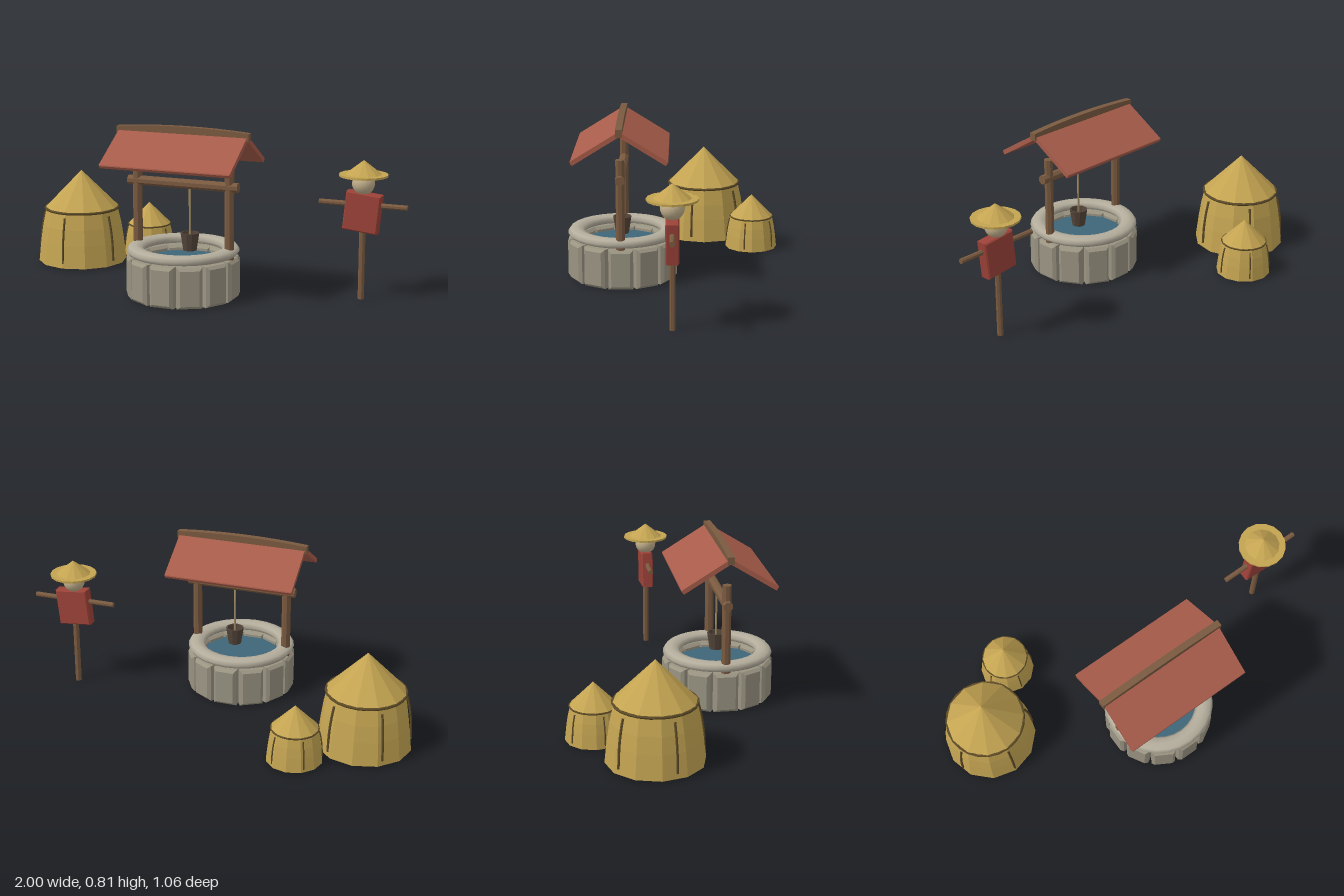
import * as THREE from 'three';

const mat = (color, flatShading = true, side = THREE.FrontSide) =>
  new THREE.MeshStandardMaterial({ color, flatShading, side });

const WOOD = mat(0x7a5a40), DARK_WOOD = mat(0x54453a), STRAW = mat(0xc4a452), TWINE = mat(0x5c4a26);
const STONE = mat(0x9a9482), RIM = mat(0xb4ad9c, false), ROOF = mat(0xa85c4a), CLOTH = mat(0x9c4238);

function add(parent, name, geometry, material, x = 0, y = 0, z = 0) {
  const mesh = new THREE.Mesh(geometry, material);
  mesh.name = name;
  mesh.position.set(x, y, z);
  parent.add(mesh);
  return mesh;
}

function group(parent, name, x, z) {
  const g = new THREE.Group();
  g.name = name;
  g.position.set(x, 0, z);
  parent.add(g);
  return g;
}

// Box with chamfered edges, centred on the origin
function chamferBox(w, h, d, c) {
  const a = w / 2 - c, b = h / 2 - c;
  const shape = new THREE.Shape([[-a, -b], [a, -b], [a, b], [-a, b]].map(p => new THREE.Vector2(...p)));
  return new THREE.ExtrudeGeometry(shape, {
    depth: d - 2 * c, bevelThickness: c, bevelSize: c, bevelSegments: 1,
  }).translate(0, 0, c - d / 2);
}

// Round pole, rotated so flats face the axes
const pole = (r, length) => new THREE.CylinderGeometry(r, r, length, 8).rotateY(Math.PI / 8);

function buildWell(parent) {
  const well = group(parent, 'well', -0.02, 0.26);

  // Ring of stone blocks
  const block = chamferBox(0.118, 0.195, 0.075, 0.014);
  for (let i = 0; i < 12; i++) {
    const a = i * Math.PI / 6;
    add(well, 'stoneBlock', block, STONE, Math.sin(a) * 0.23, 0.0985, Math.cos(a) * 0.23).rotation.y = a;
  }

  // Flattened stone rim and water
  const rim = new THREE.TorusGeometry(0.227, 0.042, 8, 28).rotateX(Math.PI / 2).scale(1, 0.6, 1);
  add(well, 'stoneRim', rim, RIM, 0, 0.224);
  add(well, 'water', new THREE.CylinderGeometry(0.205, 0.205, 0.01, 28), mat(0x3f6678), 0, 0.165);

  // Posts and winding bar
  for (const s of [-1, 1]) add(well, 'post', pole(0.0225, 0.44), WOOD, s * 0.235, 0.415);
  add(well, 'windingBar', pole(0.0235, 0.56).rotateZ(Math.PI / 2), WOOD, 0, 0.54);

  // Rope and open bucket
  add(well, 'rope', new THREE.CylinderGeometry(0.005, 0.005, 0.3, 6), mat(0xa08a62), 0.035, 0.385);
  const bucketProfile = [[0, 0], [0.032, 0], [0.045, 0.085], [0.038, 0.085], [0.029, 0.02], [0, 0.02]];
  add(well, 'bucket', new THREE.LatheGeometry(bucketProfile.map(p => new THREE.Vector2(...p)), 10),
    DARK_WOOD, 0.035, 0.222);

  // Two roof slopes
  for (const s of [-1, 1]) {
    const slope = add(well, 'roofSlope', chamferBox(0.65, 0.022, 0.268, 0.004), ROOF, 0, 0.705, s * 0.112);
    slope.rotation.x = s * Math.atan2(0.138, 0.222);
  }

  // Slightly bowed ridge beam
  const ridge = new THREE.BoxGeometry(0.67, 0.036, 0.032, 8, 1, 1);
  const p = ridge.attributes.position;
  for (let i = 0; i < p.count; i++) {
    p.setY(i, p.getY(i) + 0.014 * (1 - (p.getX(i) / 0.335) ** 2));
  }
  ridge.computeVertexNormals();
  add(well, 'ridgeBeam', ridge, WOOD, 0, 0.78);
}

function buildHaystack(parent, x, z, size) {
  const stack = group(parent, 'haystack', x, z);
  stack.scale.setScalar(size);

  // Bulging body
  const side = [[0.228, 0.005], [0.215, 0.12], [0.203, 0.2], [0.184, 0.285]];
  const profile = [[0, 0.005], ...side, [0, 0.285]].map(p => new THREE.Vector2(...p));
  add(stack, 'haystackBody', new THREE.LatheGeometry(profile, 12), STRAW);

  // Cone top with a bound edge
  add(stack, 'haystackTop', new THREE.ConeGeometry(0.193, 0.195, 12), STRAW, 0, 0.3825);
  add(stack, 'haystackBand', new THREE.TorusGeometry(0.188, 0.007, 6, 24).rotateX(Math.PI / 2), TWINE, 0, 0.284);

  // Five twine ties down the sides
  const path = new THREE.CatmullRomCurve3(
    [[0.221, 0.03], [0.217, 0.12], [0.206, 0.2], [0.192, 0.26]].map(([r, y]) => new THREE.Vector3(0, y, r)));
  const tie = new THREE.TubeGeometry(path, 8, 0.006, 6);
  for (let i = 0; i < 5; i++) add(stack, 'twineTie', tie, TWINE).rotation.y = i * Math.PI * 0.4;
}

function buildScarecrow(parent) {
  const scarecrow = group(parent, 'scarecrow', 0.785, 0.008);
  add(scarecrow, 'pole', pole(0.015, 0.53), WOOD, 0, 0.265);
  add(scarecrow, 'arms', pole(0.0125, 0.425).rotateZ(Math.PI / 2), WOOD, 0, 0.455);
  add(scarecrow, 'shirt', chamferBox(0.168, 0.185, 0.06, 0.006), CLOTH, 0, 0.42).rotation.z = -0.1;
  add(scarecrow, 'head', new THREE.SphereGeometry(0.054, 16, 12), mat(0xc2b08c, false), 0, 0.556);

  // Straw hat
  add(scarecrow, 'hatBrim', new THREE.CylinderGeometry(0.115, 0.115, 0.01, 16), STRAW, 0, 0.595);
  add(scarecrow, 'hatCrown', new THREE.ConeGeometry(0.086, 0.067, 12), STRAW, 0, 0.6325);
}

export function createModel() {
  const model = new THREE.Group();
  model.name = 'farmyardWell';
  buildWell(model);
  buildHaystack(model, -0.772, -0.15, 1);
  buildHaystack(model, -0.5, -0.398, 0.59);
  buildScarecrow(model);
  return model;
}
